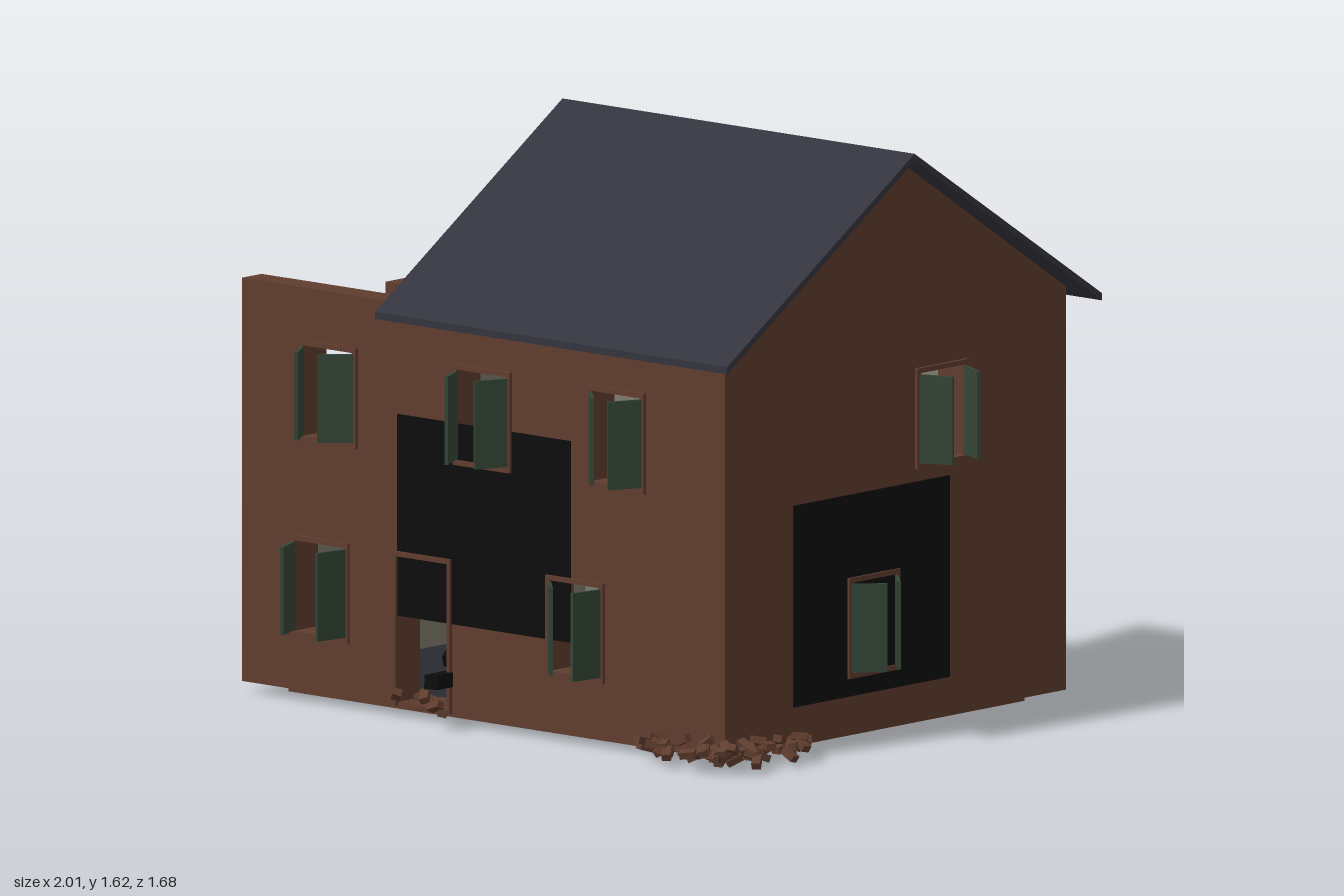
import * as THREE from 'three';

const mat = (name, color) => {
  const m = new THREE.MeshStandardMaterial({ color });
  m.name = name;
  return m;
};

export function createModel() {
  const house = new THREE.Group();
  house.name = 'ruinedHouse';
  const brick = mat('brick brown', 0x5f3d2e);
  const plaster = mat('old plaster', 0x807a6c);
  const slate = mat('roof slate', 0x34343e);
  const ground = mat('dark floor', 0x282b30);
  const green = mat('shutter green', 0x344637);
  const soot = mat('soot black', 0x0d0d0d);

  let seed = 7;
  const rnd = (a, b) => {
    seed = (seed * 16807) % 2147483647;
    return a + (b - a) * (seed / 2147483647);
  };

  const add = (name, geo, material, parent = house) => {
    const m = new THREE.Mesh(geo, material);
    m.name = name;
    parent.add(m);
    return m;
  };

  // Box given by its lowest and highest corners
  const block = (name, a, b, material, parent = house) => {
    const m = add(name, new THREE.BoxGeometry(b[0] - a[0], b[1] - a[1], b[2] - a[2]), material, parent);
    m.position.set((a[0] + b[0]) / 2, (a[1] + b[1]) / 2, (a[2] + b[2]) / 2);
    return m;
  };

  // Timber running from point a to point b
  const beam = (name, a, b, size, material) => {
    const p = new THREE.Vector3(...a), q = new THREE.Vector3(...b);
    const m = add(name, new THREE.BoxGeometry(size, size, p.distanceTo(q)), material);
    m.position.copy(p).lerp(q, 0.5);
    m.lookAt(q);
  };

  // Wall outline with rectangular holes [centre, bottom, width, height]
  const panel = (pts, holes, depth) => {
    const shape = new THREE.Shape(pts.map(p => new THREE.Vector2(...p)));
    for (const [c, y, w, h] of holes) {
      shape.holes.push(new THREE.Path([[c - w / 2, y], [c - w / 2, y + h], [c + w / 2, y + h], [c + w / 2, y]]
        .map(p => new THREE.Vector2(...p))));
    }
    return new THREE.ExtrudeGeometry(shape, { depth, bevelEnabled: false });
  };

  // Brick wall with a thin plaster lining; sideways walls run along z
  const wall = (name, pts, holes, sideways, brickAt, liningAt) => {
    const [lo, hi] = sideways ? [-0.63, 0.61] : [-0.83, 0.78];
    const inner = pts.map(([u, y]) => [Math.min(hi, Math.max(lo, u)), y - 0.002]);
    const parts = [
      [name, panel(pts, holes, 0.08), brick, brickAt],
      [name + 'Lining', panel(inner, holes, 0.01), plaster, liningAt],
    ];
    for (const [n, geo, m, at] of parts) {
      const mesh = add(n, geo, m);
      if (sideways) {
        mesh.rotation.y = -Math.PI / 2;
        mesh.position.x = at;
      } else mesh.position.z = at;
    }
  };

  // Outline with a broken, stepped top: steps are [start, height]
  const broken = (start, end, steps) => {
    const pts = [[start, 0.03], [end, 0.03]];
    for (let i = steps.length - 1; i >= 0; i--) {
      const next = i === steps.length - 1 ? end : steps[i + 1][0];
      pts.push([next, steps[i][1]], [steps[i][0], steps[i][1]]);
    }
    return pts;
  };

  const W = 0.21, H = 0.28;
  const hole = (c, y) => [c, y - H / 2, W, H];
  const UP = 0.865, LOW = 0.32;

  // Foundation and ground floor
  block('foundation', [-0.82, 0, -0.63], [0.78, 0.03, 0.6], brick);
  block('groundFloorBase', [-0.83, 0.03, -0.63], [0.78, 0.035, 0.61], brick);
  block('groundFloor', [-0.83, 0.035, -0.63], [0.78, 0.045, 0.61], ground);

  // Four walls
  wall('frontWall', [[-0.91, 0.03], [0.78, 0.03], [0.78, 1.15], [-0.91, 1.15]],
    [hole(-0.59, UP), hole(-0.025, UP), hole(0.465, UP), hole(-0.62, LOW), hole(0.315, LOW), [-0.245, 0.04, W, 0.42]],
    false, 0.61, 0.6);
  wall('gableWall', [[-0.71, 0.03], [0.69, 0.03], [0.69, 1.15], [-0.01, 1.6], [-0.71, 1.15]],
    [hole(-0.195, UP), hole(0.085, LOW)], true, 0.86, 0.78);
  wall('brokenBackWall', broken(-0.91, 0.78, [
    [-0.91, 0.9], [-0.84, 0.77], [-0.72, 0.79], [-0.63, 0.75], [-0.54, 0.77], [-0.44, 0.73], [-0.34, 0.75],
    [-0.24, 0.72], [-0.15, 0.74], [-0.06, 0.76], [0.03, 0.78], [0.11, 0.81], [0.18, 0.84], [0.25, 0.88],
    [0.33, 0.92], [0.41, 0.95], [0.5, 0.98], [0.58, 0.96], [0.65, 1.07], [0.72, 1.13],
  ]), [hole(-0.03, LOW)], false, -0.71, -0.63);
  wall('brokenSideWall', broken(-0.63, 0.61, [
    [-0.63, 0.7], [-0.54, 0.68], [-0.47, 0.76], [-0.42, 0.93], [-0.33, 1.11], [-0.19, 0.82], [-0.12, 0.86],
    [-0.05, 1.06], [0.1, 0.84], [0.19, 0.8], [0.28, 0.77], [0.36, 0.72], [0.44, 0.68], [0.52, 0.65],
  ]), [hole(-0.195, LOW)], true, -0.83, -0.82);

  // Upper floor with a burnt-out hole and the remaining joists
  const floor = add('upperFloor', panel([[-0.82, -0.6], [0.77, -0.6], [0.77, 0.62], [-0.82, 0.62]],
    [[-0.49, -0.13, 0.64, 0.63]], 0.04), brick);
  floor.rotation.x = -Math.PI / 2;
  floor.position.y = 0.51;
  for (const x of [-0.72, -0.52, -0.32, -0.185]) beam('joist', [x, 0.52, -0.61], [x, 0.52, 0.15], 0.022, brick);
  beam('looseJoist', [-0.23, 0.54, -0.53], [-0.39, 0.4, 0.13], 0.03, brick);
  beam('looseJoist', [-0.34, 0.5, -0.5], [-0.26, 0.44, 0.14], 0.022, brick);
  beam('charredBeam', [-0.56, 0.5, -0.53], [-0.45, 0.2, 0.22], 0.035, soot);
  beam('charredBeam', [-0.78, 0.48, -0.53], [-0.5, 0.08, 0.3], 0.035, soot);
  beam('charredBeam', [-0.75, 0.36, 0.3], [-0.42, 0.34, 0.15], 0.035, soot);
  beam('slateBeam', [-0.72, 0.45, 0.2], [-0.1, 0.14, 0.4], 0.03, slate);
  beam('fallenDoorBeam', [-0.36, 0.07, 0.25], [-0.1, 0.14, 0.82], 0.04, soot);

  // Roof: full front slope, half of the back slope
  const slope = (name, x0, x1, z) => {
    const geo = panel([[-0.01, 1.6], [z, 1.11], [z, 1.13], [-0.01, 1.62]], [], x1 - x0);
    const m = add(name, geo, slate);
    m.rotation.y = -Math.PI / 2;
    m.position.x = x1;
  };
  slope('frontRoof', -0.36, 0.93, 0.76);
  slope('backRoof', 0.09, 0.93, -0.78);

  // Window: frame and two open shutters; angles in degrees
  const windowUnit = (x, y, z, turn, left, right) => {
    const g = new THREE.Group();
    g.name = 'window';
    g.position.set(x, y, z);
    g.rotation.y = turn;
    house.add(g);
    const t = 0.014, w = W / 2, h = H / 2;
    for (const s of [-1, 1]) {
      const side = add('frameSide', new THREE.BoxGeometry(t, H, 0.1), brick, g);
      side.position.set(s * (w - t / 2), 0, -0.04);
      const rail = add('frameRail', new THREE.BoxGeometry(W - 2 * t, t, 0.1), brick, g);
      rail.position.set(0, s * (h - t / 2), -0.04);
      const hinge = new THREE.Group();
      hinge.name = 'shutter';
      hinge.position.set(s * 0.094, 0, 0.006);
      hinge.rotation.y = s * THREE.MathUtils.degToRad(s < 0 ? left : right);
      g.add(hinge);
      add('shutterPanel', new THREE.BoxGeometry(0.1, 0.245, 0.01), green, hinge).position.x = -s * 0.05;
    }
  };
  const Q = Math.PI / 2;
  windowUnit(-0.59, UP, 0.69, 0, 58, 45);
  windowUnit(-0.025, UP, 0.69, 0, 64, 66);
  windowUnit(0.465, UP, 0.69, 0, 45, 64);
  windowUnit(-0.62, LOW, 0.69, 0, 68, 80);
  windowUnit(0.315, LOW, 0.69, 0, 45, 80);
  windowUnit(0.86, UP, -0.195, Q, 70, 64);
  windowUnit(0.86, LOW, 0.085, Q, 42, 45);
  windowUnit(-0.03, LOW, -0.71, Math.PI, 65, 50);
  windowUnit(-0.91, LOW, -0.195, -Q, 62, 66);

  // Door frame
  block('doorPost', [-0.35, 0.03, 0.6], [-0.338, 0.46, 0.7], brick);
  block('doorPost', [-0.152, 0.03, 0.6], [-0.14, 0.46, 0.7], brick);
  block('doorLintel', [-0.338, 0.446, 0.6], [-0.152, 0.46, 0.7], brick);

  // Soot patches on the outside
  block('frontSoot', [-0.34, 0.28, 0.69], [0.295, 0.84, 0.693], soot);
  block('gableSoot', [0.86, 0.13, -0.23], [0.863, 0.69, 0.41], soot);

  // Fallen bricks
  const rubble = (x0, x1, z0, z1, n) => {
    for (let i = 0; i < n; i++) {
      const m = add('fallenBrick', new THREE.BoxGeometry(0.045, 0.02, 0.025), brick);
      m.position.set(rnd(x0, x1), rnd(0.03, 0.07), rnd(z0, z1));
      m.rotation.set(rnd(-0.5, 0.5), rnd(0, 3), rnd(-0.5, 0.5));
    }
  };
  rubble(0.62, 0.92, 0.71, 0.81, 26);
  rubble(0.88, 0.98, 0.4, 0.78, 26);
  rubble(-0.1, 0.05, -0.82, -0.73, 12);
  rubble(-0.33, -0.18, 0.6, 0.72, 8);
  rubble(-0.13, -0.1, 0.76, 0.79, 2);

  return house;
}
